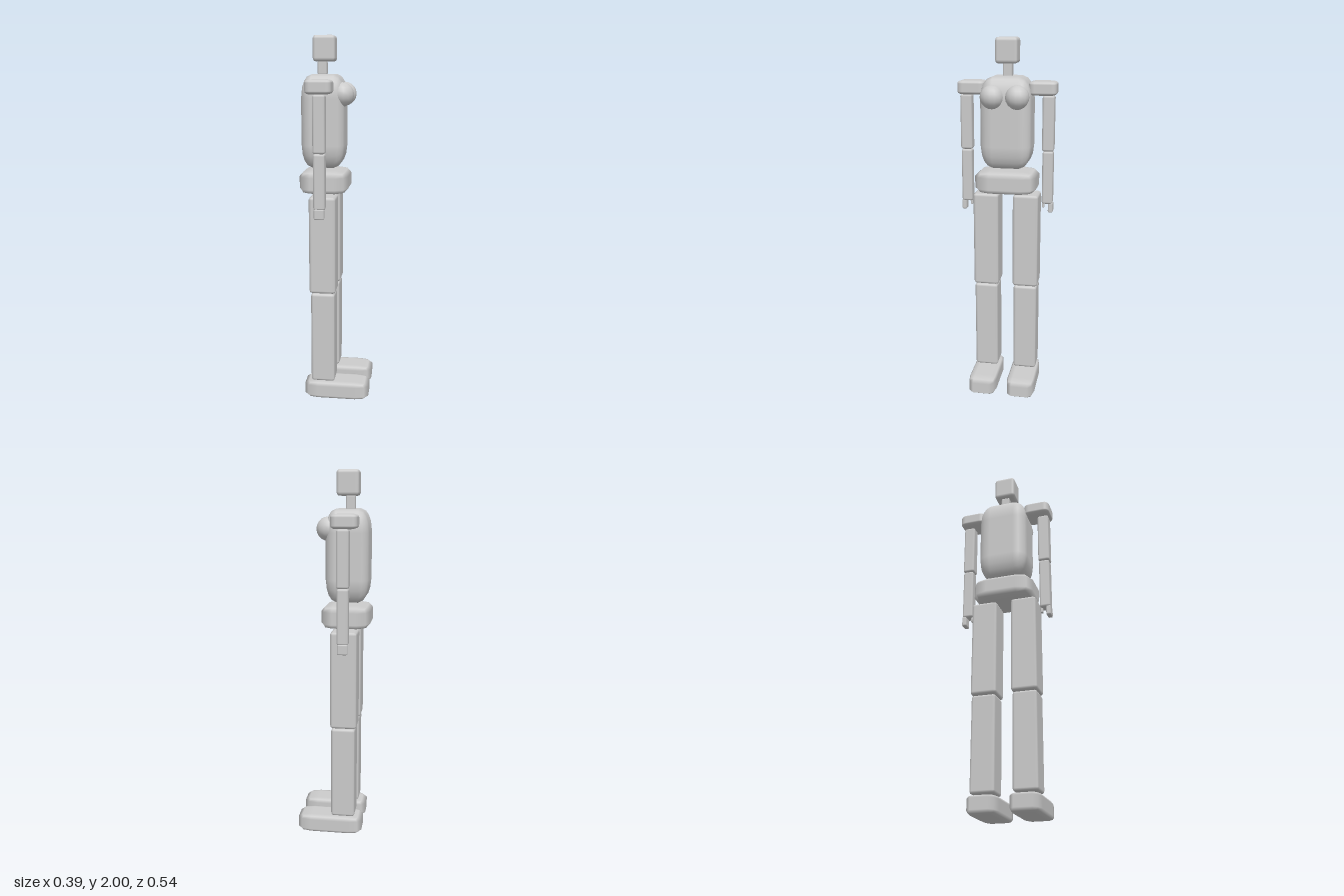
import * as THREE from 'three';
import { RoundedBoxGeometry } from 'three/addons/geometries/RoundedBoxGeometry.js';

const material = new THREE.MeshStandardMaterial({ color: 0xcccccc });

// Block between two limits per axis. With stretch, the bevel is a fraction of each side;
// otherwise it is an even radius.
function block(name, [x0, x1], [y0, y1], [z0, z1], bevel, { stretch = false, segments = 1 } = {}) {
  const size = [x1 - x0, y1 - y0, z1 - z0];
  const geometry = stretch
    ? new RoundedBoxGeometry(1, 1, 1, segments, bevel).scale(...size)
    : new RoundedBoxGeometry(...size, segments, bevel);
  const mesh = new THREE.Mesh(geometry, material);
  mesh.name = name;
  mesh.position.set((x0 + x1) / 2, (y0 + y1) / 2, (z0 + z1) / 2);
  return mesh;
}

// One side of the body; s is +1 or -1 along z
function bodySide(s, label) {
  const side = new THREE.Group();
  side.name = label;
  const z = (a, b) => (s > 0 ? [a, b] : [-b, -a]);
  const soft = { stretch: true };

  // Arm
  side.add(
    block('shoulder', [-0.141, -0.003], [1.7, 1.775], z(0.12, 0.27), 0.22, { stretch: true, segments: 2 }),
    block('upperArm', [-0.1, -0.034], [1.4, 1.7], z(0.193, 0.258), 0.012),
    block('forearm', [-0.098, -0.036], [1.105, 1.4], z(0.196, 0.256), 0.012),
    block('fingers', [-0.095, -0.04], [1.055, 1.112], z(0.231, 0.258), 0.008),
    block('thumb', [-0.078, -0.056], [1.08, 1.112], z(0.197, 0.21), 0.004),
  );

  // Leg
  side.add(
    block('thigh', [-0.135, 0.01], [0.623, 1.16], z(0.04, 0.183), 0.016),
    block('shin', [-0.127, 0.005], [0.105, 0.621], z(0.046, 0.179), 0.015),
    block('foot', [-0.166, 0.194], [0, 0.1], z(0.03, 0.191), 0.21, soft),
  );

  // Chest
  const breast = new THREE.Mesh(new THREE.SphereGeometry(0.064, 14, 10), material);
  breast.name = 'breast';
  breast.position.set(0.032, 1.695, s * 0.068);
  side.add(breast);
  return side;
}

export function createModel() {
  const figure = new THREE.Group();
  figure.name = 'blockFigure';

  // Central column
  figure.add(
    block('head', [-0.127, -0.008], [1.865, 2], [-0.06, 0.06], 0.14, { stretch: true, segments: 2 }),
    block('neck', [-0.105, -0.055], [1.795, 1.868], [-0.025, 0.025], 0.008),
    block('torso', [-0.187, 0.047], [1.305, 1.8], [-0.14, 0.14], 0.25, { stretch: true, segments: 2 }),
    block('pelvis', [-0.197, 0.068], [1.165, 1.292], [-0.17, 0.17], 0.25, { stretch: true }),
  );

  figure.add(bodySide(1, 'rightSide'), bodySide(-1, 'leftSide'));
  return figure;
}
